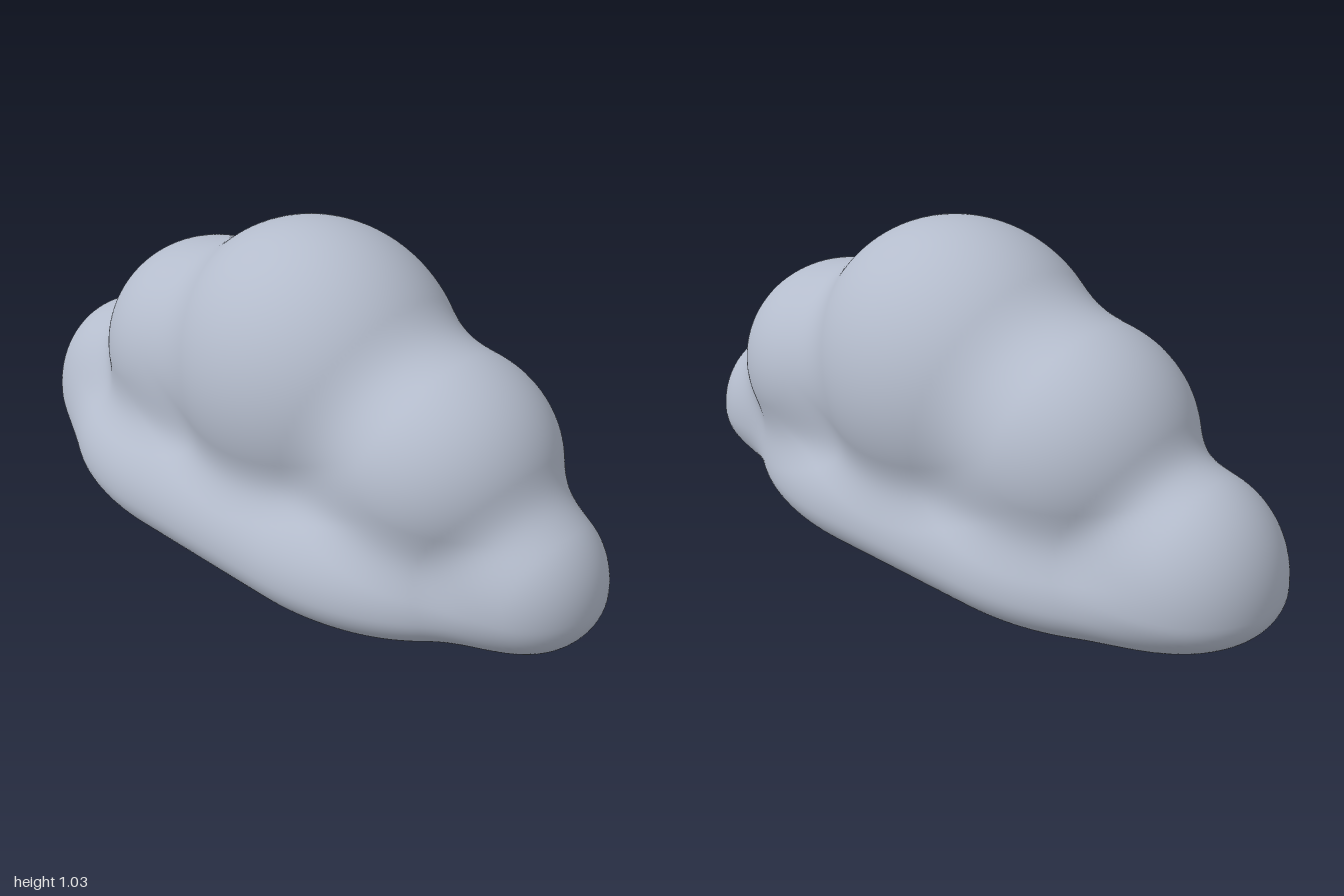
import * as THREE from 'three';

// Puffs of the cloud: centre, radii, and optionally a separate radius for
// the upper half (up) and a straight stretch along x (core)
const puffs = [
  { c: [-0.02, 0.2, 0], r: [0.58, 0.2, 0.405], up: 0.27, core: 0.25 },  // wide base
  { c: [0.045, 0.6, -0.03], r: [0.435, 0.425, 0.38] },                  // tall middle puff
  { c: [-0.36, 0.52, -0.035], r: [0.345, 0.33, 0.325] },                // right shoulder
  { c: [0.48, 0.495, -0.035], r: [0.335, 0.305, 0.315] },               // left shoulder
  { c: [-0.735, 0.25, -0.03], r: [0.265, 0.165, 0.26], up: 0.295 },     // right end
  { c: [0.787, 0.25, -0.03], r: [0.213, 0.17, 0.22], up: 0.24 },        // left end
];
const BLEND = 0.1;

// Approximate distance to one puff
function puffDistance({ c, r, up = r[1], core = 0 }, x, y, z) {
  const ry = y > c[1] ? up : r[1];
  const a = Math.max(Math.abs(x - c[0]) - core, 0) / r[0];
  const b = (y - c[1]) / ry, d = (z - c[2]) / r[2];
  const k0 = Math.hypot(a, b, d);
  const k1 = Math.hypot(a / r[0], b / ry, d / r[2]) || 1e-6;
  return k0 * (k0 - 1) / k1;
}

// Softly blended union of all puffs
function cloudDistance(x, y, z) {
  let dist = 10;
  for (const puff of puffs) {
    const d = puffDistance(puff, x, y, z);
    const h = Math.max(BLEND - Math.abs(dist - d), 0) / BLEND;
    dist = Math.min(dist, d) - h * h * BLEND * 0.25;
  }
  return dist;
}

// Shrink-wrap a sphere onto the blended puffs
function cloudGeometry() {
  const geometry = new THREE.SphereGeometry(1, 220, 150);
  const pos = geometry.attributes.position, nor = geometry.attributes.normal;
  const centre = new THREE.Vector3(0, 0.36, -0.02);
  const stretch = new THREE.Vector3(1, 0.55, 0.45);
  const dir = new THREE.Vector3(), p = new THREE.Vector3(), n = new THREE.Vector3();
  const e = 0.004;
  for (let i = 0; i < pos.count; i++) {
    dir.fromBufferAttribute(pos, i).multiply(stretch).normalize();
    let t = 1.5;
    for (let step = 0; step < 120; step++) {
      p.copy(centre).addScaledVector(dir, t);
      const d = cloudDistance(p.x, p.y, p.z);
      if (Math.abs(d) < 0.0002) break;
      t -= d * 0.7;
    }
    n.set(
      cloudDistance(p.x + e, p.y, p.z) - cloudDistance(p.x - e, p.y, p.z),
      cloudDistance(p.x, p.y + e, p.z) - cloudDistance(p.x, p.y - e, p.z),
      cloudDistance(p.x, p.y, p.z + e) - cloudDistance(p.x, p.y, p.z - e),
    ).normalize();
    pos.setXYZ(i, p.x, p.y, p.z);
    nor.setXYZ(i, n.x, n.y, n.z);
  }
  return geometry;
}

export function createModel() {
  const model = new THREE.Group();
  model.name = 'cloud';
  const material = new THREE.MeshStandardMaterial({ color: 0xb4bccc });
  material.name = 'cloud grey';
  const body = new THREE.Mesh(cloudGeometry(), material);
  body.name = 'cloudBody';
  model.add(body);
  return model;
}
